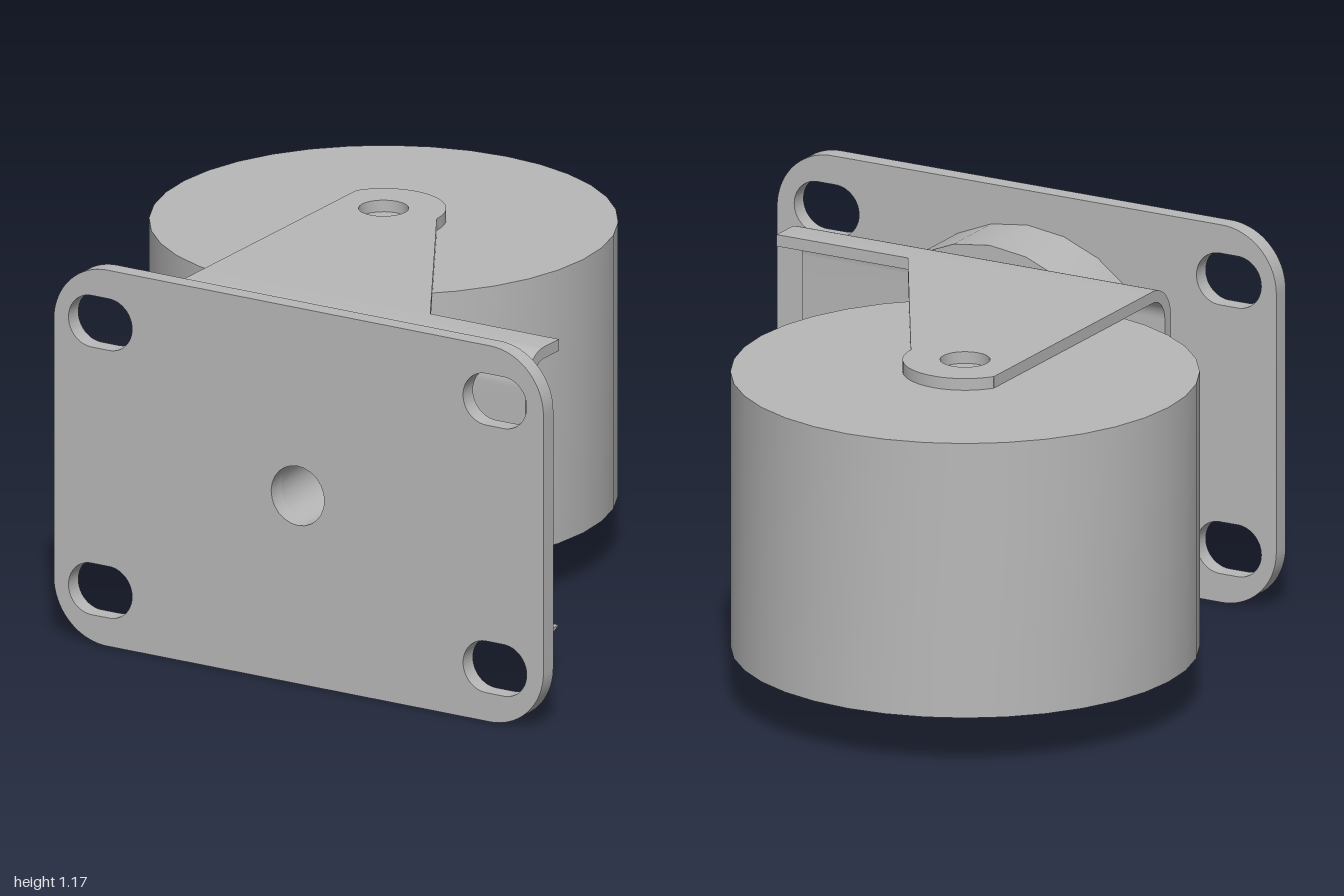
import * as THREE from 'three';
import { toCreasedNormals } from 'three/addons/utils/BufferGeometryUtils.js';

const steel = new THREE.MeshStandardMaterial({ color: 0xb8b8b8 });
steel.name = 'grey steel';

const CX = 0.153, CY = 0.583; // mounting plate centre
const AXLE_X = -0.31, AXLE_Z = -0.265;

function extrude(shape, depth) {
  return new THREE.ExtrudeGeometry(shape, { depth, bevelEnabled: false, curveSegments: 12 });
}

function addPart(group, name, geometry) {
  const mesh = new THREE.Mesh(toCreasedNormals(geometry, 0.6), steel);
  mesh.name = name;
  group.add(mesh);
}

// Rounded rectangle; also makes slots when r is half the height
function roundedRect(path, cx, cy, w, h, r) {
  const x = w / 2 - r, y = h / 2 - r;
  path.absarc(cx + x, cy + y, r, 0, Math.PI / 2);
  path.absarc(cx - x, cy + y, r, Math.PI / 2, Math.PI);
  path.absarc(cx - x, cy - y, r, Math.PI, Math.PI * 1.5);
  path.absarc(cx + x, cy - y, r, Math.PI * 1.5, Math.PI * 2);
  path.closePath();
  return path;
}

function circle(path, x, y, r) {
  path.absarc(x, y, r, 0, Math.PI * 2);
  return path;
}

export function createModel() {
  const model = new THREE.Group();
  model.name = 'caster';

  // Mounting plate with centre hole and four slots
  const plate = roundedRect(new THREE.Shape(), CX, CY, 1.694, 1.166, 0.185);
  plate.holes.push(circle(new THREE.Path(), 0.15, CY, 0.092));
  for (const x of [-0.533, 0.832]) {
    for (const y of [CY - 0.415, CY + 0.415]) {
      plate.holes.push(roundedRect(new THREE.Path(), x, y, 0.22, 0.16, 0.08));
    }
  }
  addPart(model, 'mountingPlate', extrude(plate, 0.055).translate(0, 0, 0.9));

  // Swivel housing
  const swivel = circle(new THREE.Shape(), 0.15, CY, 0.476);
  swivel.holes.push(circle(new THREE.Path(), 0.15, CY, 0.092));
  addPart(model, 'swivelHousing', extrude(swivel, 0.223).translate(0, 0, 0.677));

  // Folded channel of the fork, drawn in (z, y) and extruded along x
  const back = 0.49, front = 0.677, low = 0.123, high = 1.045, t = 0.036, r = 0.105;
  const channel = new THREE.Shape();
  channel.moveTo(back, low);
  channel.absarc(front - r, low + r, r, -Math.PI / 2, 0);
  channel.absarc(front - r, high - r, r, 0, Math.PI / 2);
  channel.lineTo(back, high);
  channel.lineTo(back, high - t);
  channel.absarc(front - r, high - r, r - t, Math.PI / 2, 0, true);
  channel.absarc(front - r, low + r, r - t, 0, -Math.PI / 2, true);
  channel.lineTo(back, low + t);
  channel.closePath();
  addPart(model, 'forkChannel', extrude(channel, 1.23).rotateY(-Math.PI / 2).translate(0.765, 0, 0));

  // Fork arms, drawn in (x, z), with axle holes
  const arm = new THREE.Shape();
  arm.moveTo(-0.465, back);
  arm.lineTo(-0.465, AXLE_Z - 0.1);
  arm.absarc(AXLE_X, AXLE_Z, 0.184, Math.atan2(-0.1, -0.155), 0);
  arm.lineTo(0.32, back);
  arm.closePath();
  arm.holes.push(circle(new THREE.Path(), AXLE_X, AXLE_Z, 0.074));
  for (const [name, top] of [['upperForkArm', high], ['lowerForkArm', low + t]]) {
    addPart(model, name, extrude(arm, t).rotateX(Math.PI / 2).translate(0, top, 0));
  }

  // Solid wheel between the arms
  const wheel = new THREE.CylinderGeometry(0.69, 0.69, 0.848, 36);
  addPart(model, 'wheel', wheel.translate(AXLE_X, 0.584, AXLE_Z));

  return model;
}
